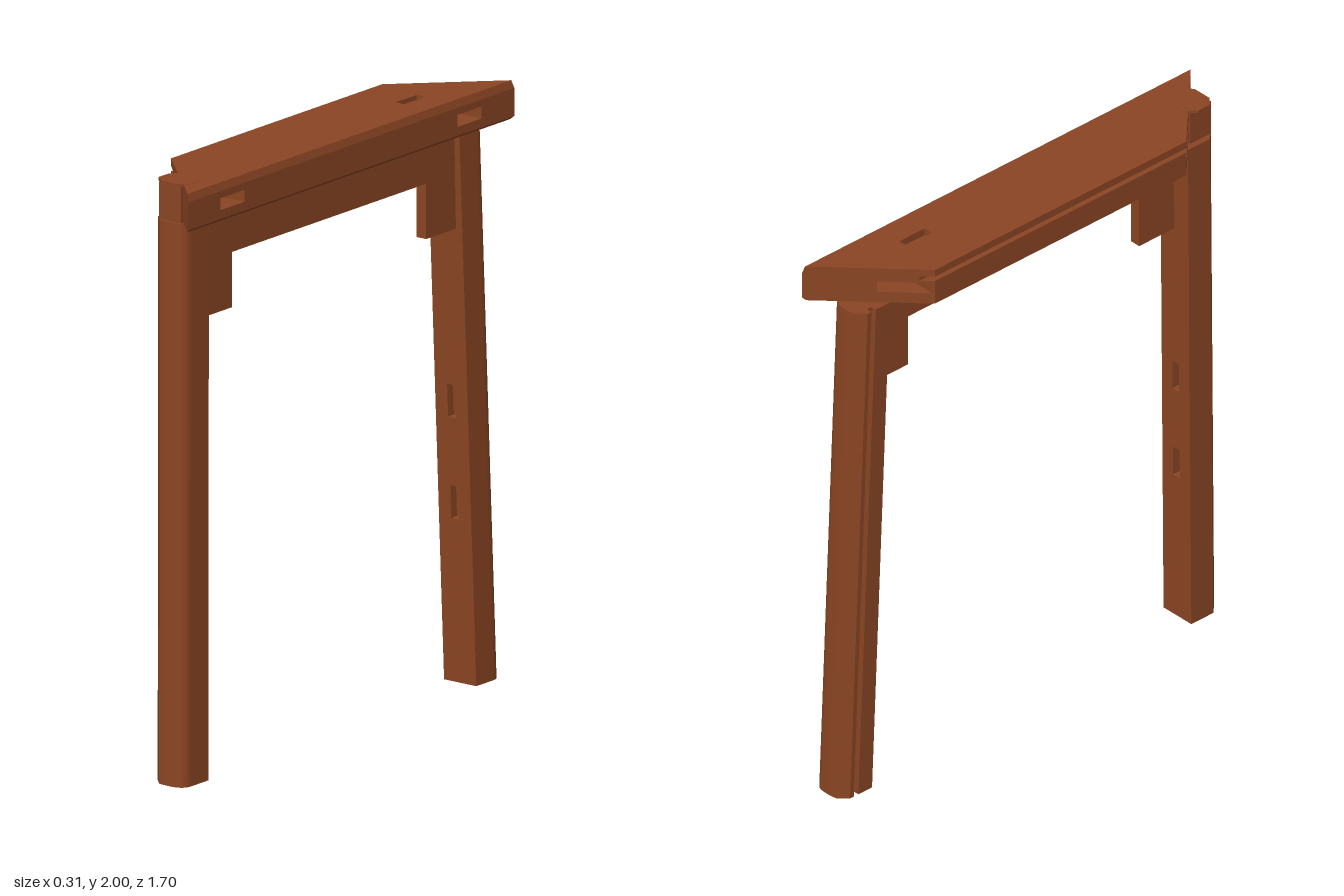
import * as THREE from 'three';

const LEG_H = 1.87, HALF = 0.066;

export function createModel() {
  const wood = new THREE.MeshStandardMaterial({ color: 0x8b4523 });
  wood.name = 'brown wood';
  const model = new THREE.Group();
  model.name = 'sideFrame';

  const add = (name, geometry, parent = model) => {
    const mesh = new THREE.Mesh(geometry, wood);
    mesh.name = name;
    parent.add(mesh);
    return mesh;
  };
  const polygon = (pts) => new THREE.Shape(pts.map(([a, b]) => new THREE.Vector2(a, b)));
  const extrude = (shape, depth) =>
    new THREE.ExtrudeGeometry(shape, { depth, bevelEnabled: false, curveSegments: 5 });
  // Extrude a plan outline given as (x, -z) upwards from height y
  const slab = (shape, y, h) => extrude(shape, h).rotateX(-Math.PI / 2).translate(0, y, 0);
  const moveVertices = (g, rule) => {
    const p = g.attributes.position, v = new THREE.Vector3();
    for (let i = 0; i < p.count; i++) {
      rule(v.fromBufferAttribute(p, i));
      p.setXYZ(i, v.x, v.y, v.z);
    }
    g.computeVertexNormals();
    return g;
  };

  // Top rail: mitred slabs with through slots and an inner groove
  const rail = new THREE.Group();
  rail.name = 'topRail';
  model.add(rail);
  const inner = -0.155, outer = 0.15;
  const zAt = (x) => 0.55 + (x - inner) * (0.3 / 0.305);
  const xAt = (z) => inner + (z - 0.55) * (0.305 / 0.3);
  const plan = (x0) => polygon([[x0, -zAt(x0)], [outer, -0.85], [outer, 0.85], [x0, zAt(x0)]]);
  const chamfer = (g, y, inset) => moveVertices(g, (v) => {
    if (Math.abs(v.y - y) < 1e-4 && v.x > 0.149) {
      v.x -= inset;
      v.z -= Math.sign(v.z) * inset;
    }
  });
  add('railLowerEdge', chamfer(slab(plan(inner), 1.87, 0.01), 1.87, 0.01), rail);
  add('railLower', slab(plan(inner), 1.88, 0.03), rail);
  const mid = polygon([[inner, -0.55], [xAt(0.555), -0.555], [outer, -0.555],
    [outer, 0.555], [xAt(0.555), 0.555], [inner, 0.55]]);
  add('railBetweenSlots', slab(mid, 1.91, 0.04), rail);
  for (const s of [1, -1]) {
    const tip = polygon([[xAt(0.68), s * 0.68], [outer, s * 0.68], [outer, s * 0.85]]);
    add('railTip', slab(tip, 1.91, 0.04), rail);
  }
  add('railGrooveLip', slab(plan(inner), 1.95, 0.007), rail);
  add('railGroove', slab(plan(-0.12), 1.957, 0.017), rail);
  const topPlan = plan(inner);
  topPlan.holes.push(polygon([[0.01, 0.41], [0.01, 0.52], [0.045, 0.52], [0.045, 0.41]]));
  add('railTop', chamfer(slab(topPlan, 1.974, 0.026), 2.0, 0.007), rail);

  // Splayed legs: rounded outer body and an inner plate with two mortises
  const splay = (g, s) => moveVertices(g, (v) => {
    const t = v.y / LEG_H;
    v.x += 0.048 - 0.034 * t;
    v.z += s * (0.764 - 0.046 * t);
  });
  const section = (s, groove) => {
    const shape = new THREE.Shape();
    const y = (z) => -s * z;
    shape.moveTo(-HALF, y(-0.036));
    shape.lineTo(HALF, y(-0.036));
    shape.lineTo(HALF, y(0.025));
    shape.quadraticCurveTo(HALF, y(0.055), 0.035, y(0.064));
    shape.quadraticCurveTo(0, y(0.069), -0.035, y(0.062));
    shape.lineTo(-HALF, y(0.03));
    if (groove) {
      for (const [x, z] of [[-HALF, 0.014], [-0.045, 0.014], [-0.045, -0.006], [-HALF, -0.006]])
        shape.lineTo(x, y(z));
    }
    return shape;
  };
  for (const s of [1, -1]) {
    const leg = new THREE.Group();
    leg.name = s > 0 ? 'frontLeg' : 'backLeg';
    model.add(leg);
    add('legBody', splay(slab(section(s, s < 0), 0, LEG_H), s), leg);
    const face = polygon([[-HALF, 0], [HALF, 0], [HALF, LEG_H], [-HALF, LEG_H]]);
    for (const y of [0.55, 0.89])
      face.holes.push(polygon([[-0.016, y], [-0.016, y + 0.11], [0.016, y + 0.11], [0.016, y]]));
    const plate = extrude(face, 0.03).translate(0, 0, s > 0 ? -HALF : 0.036);
    add('mortisedFace', splay(plate, s), leg);
  }

  // Post on the front leg, capped flush with the rail
  add('frontPost', new THREE.BoxGeometry(0.09, 0.125, 0.09)).position.set(0.015, 1.932, 0.727);
  const cap = polygon([[-0.05, -0.7], [-0.02, -0.66], [0.05, -0.66], [0.08, -0.7],
    [0.08, -0.75], [0.05, -0.775], [-0.02, -0.775], [-0.05, -0.75]]);
  add('postCap', slab(cap, 1.992, 0.009));

  // Apron board and mitred corner brackets, drawn as (-z, y) and turned to face +x
  const sideBoard = (pts, x, t) => extrude(polygon(pts), t).rotateY(Math.PI / 2).translate(x, 0, 0);
  add('apron', sideBoard([[-0.505, 1.715], [0.505, 1.715], [0.66, 1.87], [-0.66, 1.87]], 0.02, 0.04));
  for (const s of [1, -1]) {
    add('cornerBracket', sideBoard([[s * 0.505, 1.53], [s * 0.675, 1.53],
      [s * 0.665, 1.87], [s * 0.66, 1.87], [s * 0.505, 1.715]], 0.02, 0.04));
  }
  return model;
}
